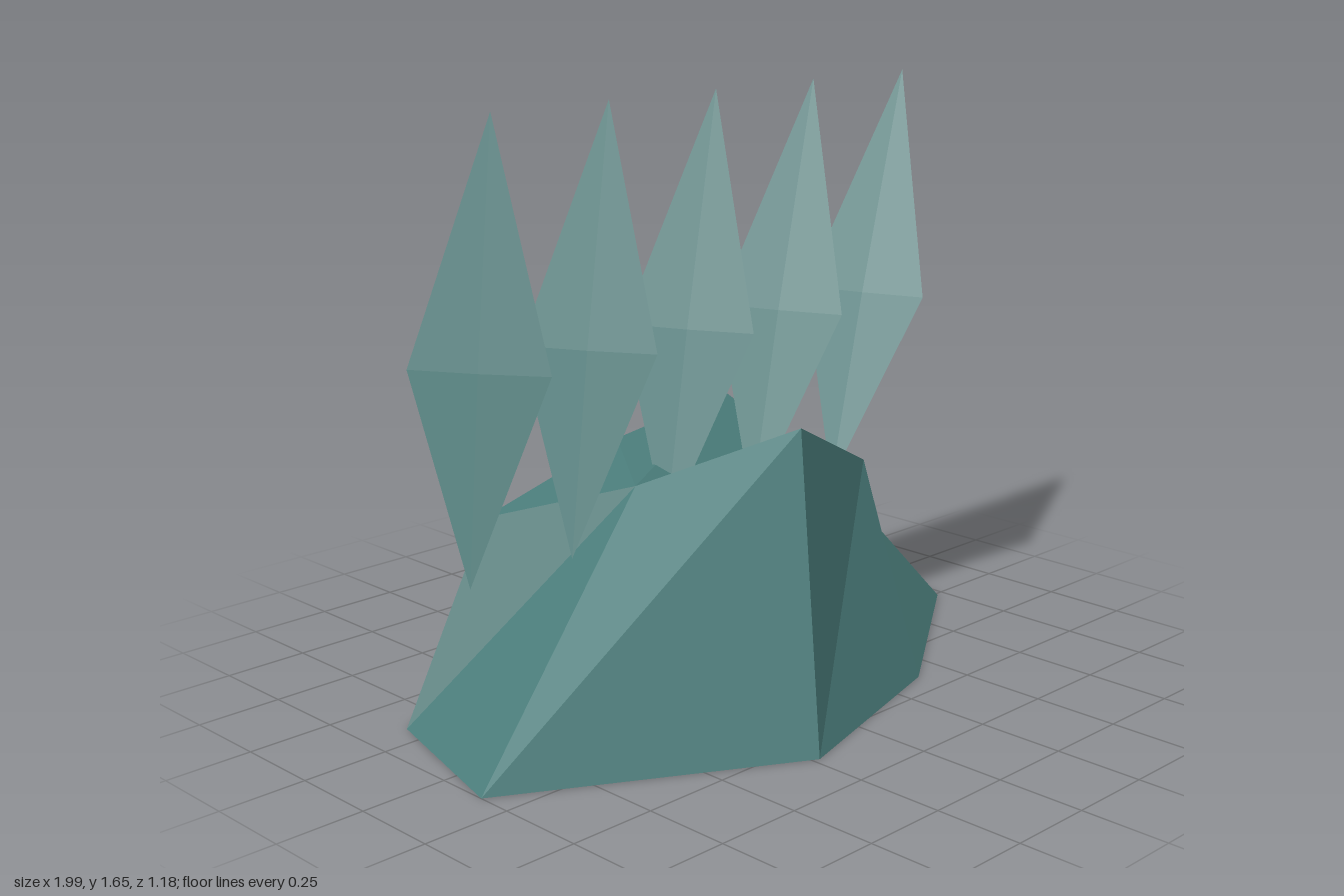
import * as THREE from 'three';

// Faceted mesh from triangles given as lists of three points
function facetMesh(name, triangles, material) {
  const geometry = new THREE.BufferGeometry();
  geometry.setAttribute('position', new THREE.Float32BufferAttribute(triangles.flat(2), 3));
  geometry.computeVertexNormals();
  const mesh = new THREE.Mesh(geometry, material);
  mesh.name = name;
  return mesh;
}

export function createModel() {
  const model = new THREE.Group();
  model.name = 'rockWithShards';
  const teal = new THREE.MeshStandardMaterial({ color: 0x4a7c7a, flatShading: true });
  teal.name = 'teal stone';

  // Rock: uneven seven-sided frustum, both loops run counterclockwise from the front
  const base = [
    [-0.23, 0, 0.59], [0.39, 0, 0.41], [0.97, 0, 0.01], [0.49, 0, -0.59],
    [-0.36, 0, -0.55], [-0.87, 0, -0.33], [-1, 0, 0.15],
  ];
  const rim = [
    [-0.02, 0.8, 0.32], [0.44, 0.585, 0.145], [0.51, 0.5, -0.06], [0.53, 0.655, -0.51],
    [-0.03, 0.635, -0.4], [-0.6, 0.54, -0.31], [-0.3, 0.625, -0.03],
  ];
  const rock = [];
  const n = base.length;
  for (let i = 0; i < n; i++) {
    const j = (i + 1) % n;
    rock.push([rim[i], base[i], rim[j]], [base[i], base[j], rim[j]]);
    // Top and underside fan out from the last corner
    if (i < n - 2) {
      rock.push([rim[n - 1], rim[i], rim[j]], [base[n - 1], base[j], base[i]]);
    }
  }
  model.add(facetMesh('rock', rock, teal));

  // Shards: five thin leaning diamonds that turn slightly along the row
  const shards = new THREE.Group();
  shards.name = 'shards';
  for (let i = 0; i < 5; i++) {
    const tip = [-0.63 + 0.405 * i, 1.65, -0.2];
    const root = [-0.85 + 0.345 * i, 0.46, -0.06];
    const cx = THREE.MathUtils.lerp(root[0], tip[0], 0.454);
    const cz = -0.126;
    const angle = THREE.MathUtils.degToRad(33 - 3.8 * i);
    const ring = [0.194, 0.008, 0.194, 0.008].map((radius, k) => {
      const a = angle + k * Math.PI / 2;
      return [cx + radius * Math.sin(a), 1, cz + radius * Math.cos(a)];
    });
    const faces = [];
    ring.forEach((p, k) => {
      const q = ring[(k + 1) % 4];
      faces.push([tip, p, q], [root, q, p]);
    });
    shards.add(facetMesh('shard', faces, teal));
  }
  model.add(shards);
  return model;
}
